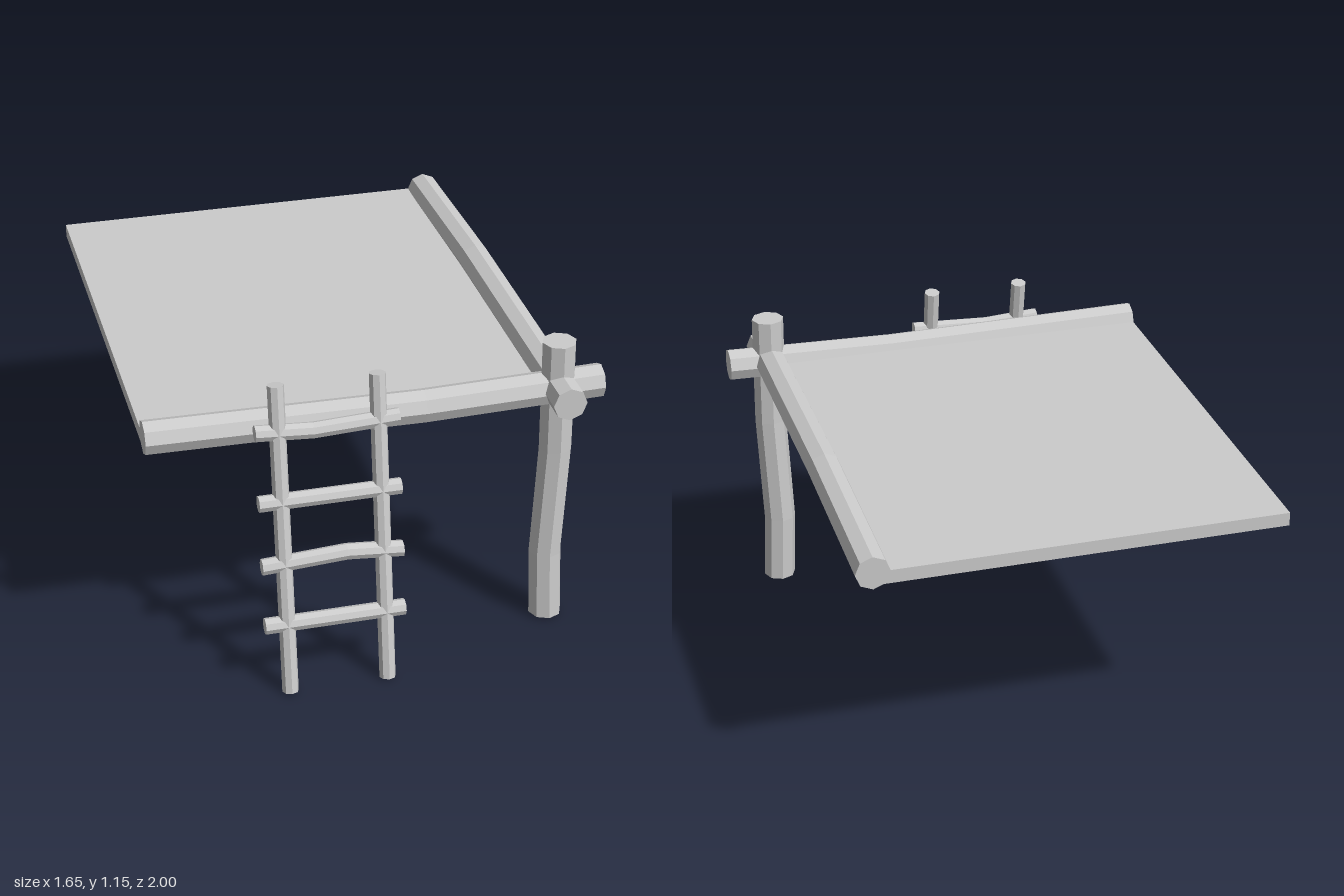
import * as THREE from 'three';

const material = new THREE.MeshStandardMaterial({ color: 0xcccccc, flatShading: true });

// Eight-sided log whose rings follow a list of points
function log(name, radius, points) {
  const pts = points.map((p) => new THREE.Vector3(...p));
  const n = pts.length - 1;
  const dir = pts[n].clone().sub(pts[0]).normalize();
  const turn = new THREE.Quaternion().setFromUnitVectors(new THREE.Vector3(0, 1, 0), dir);
  const indexed = new THREE.CylinderGeometry(radius, radius, 1, 8, n);
  const geometry = indexed.toNonIndexed();
  const pos = geometry.attributes.position;
  const v = new THREE.Vector3();
  for (let i = 0; i < pos.count; i++) {
    v.fromBufferAttribute(pos, i);
    const ring = Math.round((v.y + 0.5) * n);
    v.setY(0).applyQuaternion(turn).add(pts[ring]);
    pos.setXYZ(i, v.x, v.y, v.z);
  }
  geometry.computeVertexNormals();
  const mesh = new THREE.Mesh(geometry, material);
  mesh.name = name;
  return mesh;
}

export function createModel() {
  const model = new THREE.Group();
  model.name = 'logPlatform';

  // Deck slab let into the two beams
  const deck = new THREE.Mesh(new THREE.BoxGeometry(1.48, 0.05, 1.71), material);
  deck.name = 'deck';
  deck.position.set(-0.085, 0.95, -0.145);
  model.add(deck);

  // Corner post and the beams that cross it
  model.add(log('cornerPost', 0.062, [
    [0.66, 0.01, 0.716], [0.65, 0.28, 0.712], [0.668, 0.72, 0.715], [0.662, 1.15, 0.718],
  ]));
  model.add(log('frontBeam', 0.062, [
    [-0.826, 0.97, 0.716], [0.17, 0.957, 0.716], [0.824, 0.972, 0.716],
  ]));
  model.add(log('sideBeam', 0.062, [
    [0.662, 0.973, 0.865], [0.662, 0.992, -0.27], [0.662, 0.972, -1],
  ]));

  // Leaning ladder
  const ladder = new THREE.Group();
  ladder.name = 'ladder';
  for (const x of [-0.375, -0.017]) {
    ladder.add(log('ladderRail', 0.03, [[x, 0.005, 0.97], [x, 1.15, 0.782]]));
  }
  // Rungs: height, bend position, bend amount
  const rungs = [[0.267, -0.2, 0], [0.492, -0.15, 0.018], [0.727, -0.2, 0], [0.985, -0.25, -0.014]];
  for (const [y, bendX, bend] of rungs) {
    const z = 0.971 - 0.164 * y;
    ladder.add(log('ladderRung', 0.03, [[-0.456, y, z], [bendX, y + bend, z], [0.054, y, z]]));
  }
  model.add(ladder);
  return model;
}
